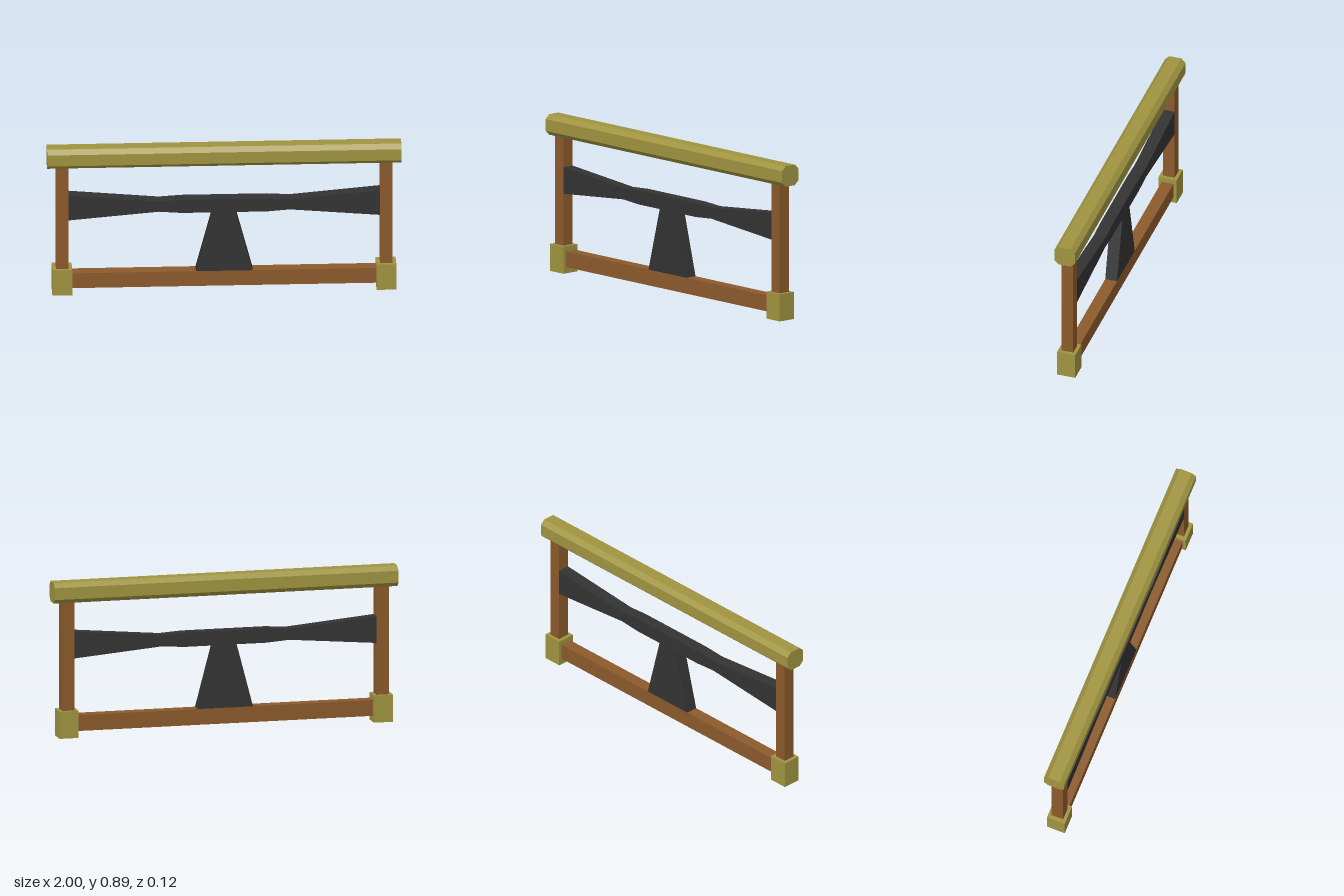
import * as THREE from 'three';

const material = (name, color) => {
  const m = new THREE.MeshStandardMaterial({ color });
  m.name = name;
  return m;
};

export function createModel() {
  const group = new THREE.Group();
  const wood = material('brown wood', 0x8b5a2b);
  const gold = material('olive gold', 0xa09440);
  const iron = material('dark iron', 0x333333);

  const add = (name, geometry, mat) => {
    const mesh = new THREE.Mesh(geometry, mat);
    mesh.name = name;
    group.add(mesh);
    return mesh;
  };

  // Box given by its lower and upper x and y, and its half depth
  const box = (name, x0, x1, y0, y1, halfZ, mat) => {
    const mesh = add(name, new THREE.BoxGeometry(x1 - x0, y1 - y0, halfZ * 2), mat);
    mesh.position.set((x0 + x1) / 2, (y0 + y1) / 2, 0);
  };

  // Flat outline extruded evenly about z = 0
  const plate = (points, depth) => {
    const shape = new THREE.Shape(points.map(([x, y]) => new THREE.Vector2(x, y)));
    const geometry = new THREE.ExtrudeGeometry(shape, { depth, bevelEnabled: false });
    return geometry.translate(0, 0, -depth / 2);
  };

  // Chamfered handrail running along x
  const rail = plate([
    [-0.035, 0.777], [0.035, 0.777], [0.061, 0.802], [0.061, 0.87],
    [0.035, 0.895], [-0.035, 0.895], [-0.061, 0.87], [-0.061, 0.802],
  ], 2).rotateY(Math.PI / 2);
  add('topRail', rail, gold);

  // Posts and feet at both ends
  for (const [side, s] of [['left', 1], ['right', -1]]) {
    const c = s * 0.915;
    box(side + 'Post', c - 0.035, c + 0.035, 0.15, 0.78, 0.035, wood);
    box(side + 'Foot', c - 0.056, c + 0.056, 0, 0.156, 0.054, gold);
  }
  box('bottomRail', -0.87, 0.87, 0.036, 0.127, 0.035, wood);

  // Crossbar: pinched between the middle and the flared ends
  const stations = [[0.88, 0.455, 0.608], [0.37, 0.499, 0.562], [0.24, 0.489, 0.57]];
  const top = stations.map(([x, , y]) => [x, y]);
  const bottom = stations.map(([x, y]) => [x, y]).reverse();
  const half = [...bottom, ...top];
  const mirrored = [...top, ...bottom].map(([x, y]) => [-x, y]);
  // Right half continues around the outline: top inwards to out, then back below
  const rightHalf = [...mirrored.slice(0, 3).reverse(), ...mirrored.slice(3).reverse()];
  add('crossbar', plate([...half, ...rightHalf], 0.07), iron);

  // Tapered stem under the crossbar
  add('stem', plate([[-0.16, 0.127], [0.16, 0.127], [0.065, 0.489], [-0.065, 0.489]], 0.07), iron);

  return group;
}
